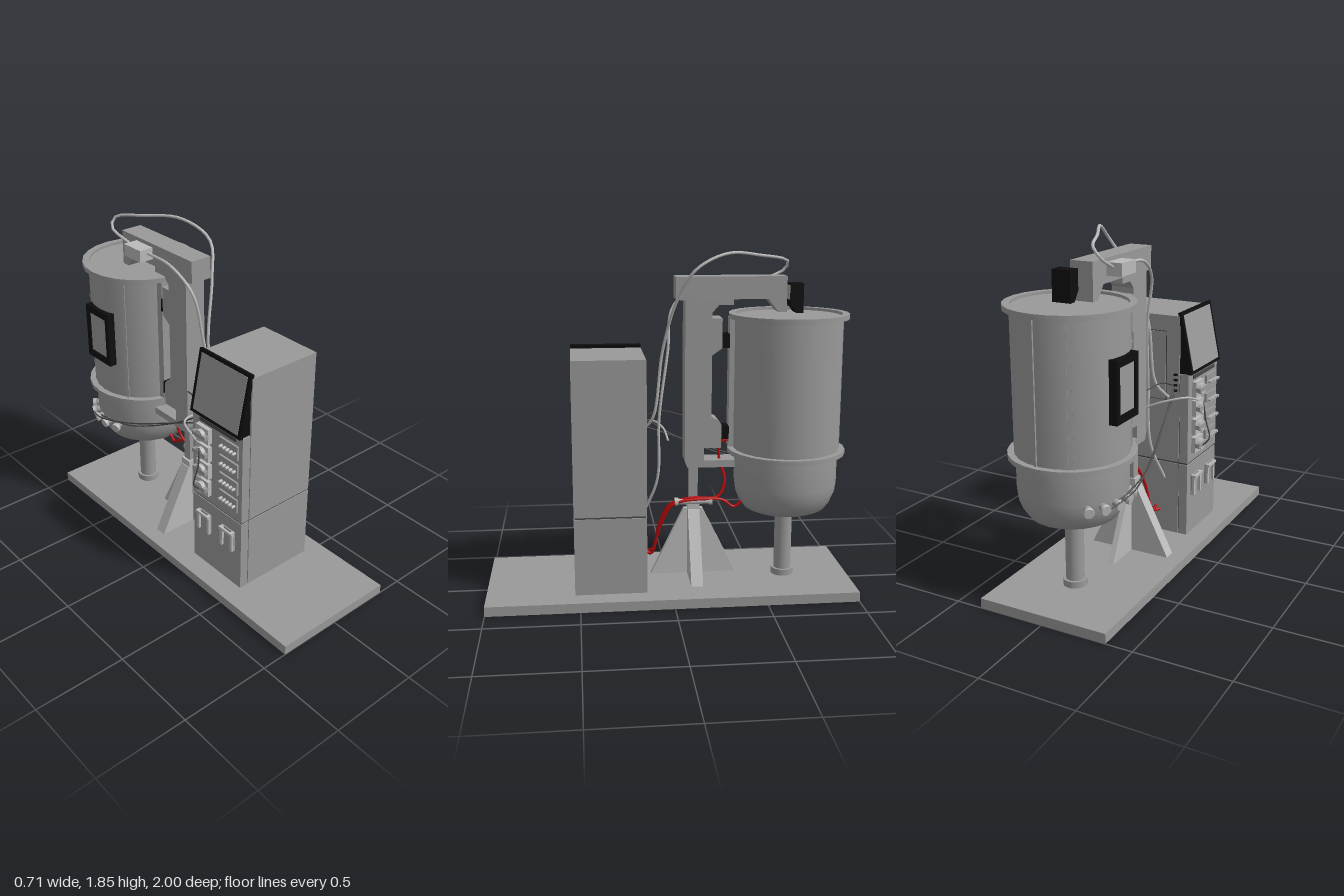
import * as THREE from 'three';
import { toCreasedNormals } from 'three/addons/utils/BufferGeometryUtils.js';

const grey = new THREE.MeshStandardMaterial({ color: 0x999999 });
const light = new THREE.MeshStandardMaterial({ color: 0xbababa });
const black = new THREE.MeshStandardMaterial({ color: 0x0e0e0e });
const dark = new THREE.MeshStandardMaterial({ color: 0x484848 });
const red = new THREE.MeshStandardMaterial({ color: 0xc00a0a });

export function createModel() {
  const model = new THREE.Group();
  const add = (name, geo, mat = grey, parent = model) => {
    const m = new THREE.Mesh(geo, mat);
    m.name = name;
    parent.add(m);
    return m;
  };
  // Box given by its extents on each axis
  const box = (name, x0, x1, y0, y1, z0, z1, mat, parent) => {
    const m = add(name, new THREE.BoxGeometry(x1 - x0, y1 - y0, z1 - z0), mat, parent);
    m.position.set((x0 + x1) / 2, (y0 + y1) / 2, (z0 + z1) / 2);
    return m;
  };
  const vec2 = pts => pts.map(p => new THREE.Vector2(...p));
  const extrude = (shape, depth) => new THREE.ExtrudeGeometry(shape, { depth, bevelEnabled: false });
  // Side profile in (z, y), extruded across x around a centre
  const sideExtrude = (name, pts, cx, width, mat) => {
    const g = extrude(new THREE.Shape(vec2(pts)), width);
    g.translate(0, 0, -width / 2).rotateY(-Math.PI / 2).translate(cx, 0, 0);
    return add(name, g, mat);
  };
  const tube = (name, pts, r, mat) => {
    const curve = new THREE.CatmullRomCurve3(pts.map(p => new THREE.Vector3(...p)));
    return add(name, new THREE.TubeGeometry(curve, 48, r, 8), mat);
  };
  const rod = (name, r, h, x, y, z, mat, parent) => {
    const g = toCreasedNormals(new THREE.CylinderGeometry(r, r, h, 20), 0.6);
    const m = add(name, g, mat, parent);
    m.position.set(x, y, z);
    return m;
  };

  box('basePlate', -0.357, 0.357, 0, 0.053, -1, 1);

  // Control cabinet
  box('cabinetLower', -0.185, 0.247, 0.053, 0.475, 0.14, 0.527);
  box('cabinetSeam', -0.18, 0.242, 0.475, 0.485, 0.145, 0.522, dark);
  box('cabinetUpper', -0.185, 0.247, 0.485, 1.32, 0.14, 0.527);
  box('sidePanelLower', -0.24, -0.19, 0.053, 0.475, 0.14, 0.527);
  box('sidePanelUpper', -0.24, -0.19, 0.485, 1.0, 0.14, 0.527);
  box('sidePanelSeam', -0.235, -0.18, 0.06, 0.99, 0.145, 0.522, dark);
  box('rearDoorGap', -0.108, 0.193, 0.842, 1.233, 0.137, 0.15, dark);
  box('rearDoor', -0.104, 0.189, 0.846, 1.229, 0.134, 0.15);

  // Tilted operator screen with wedge housing
  const wedge = new THREE.Shape(vec2([[-0.18, 1.0], [-0.18, 1.32], [-0.235, 1.0]]));
  add('screenHousing', extrude(wedge, 0.37), black).position.z = 0.147;
  const screen = new THREE.Group();
  screen.name = 'screen';
  screen.position.set(-0.216, 1.17, 0.333);
  screen.rotation.z = -0.2;
  model.add(screen);
  box('screenFrame', -0.01, 0.01, -0.173, 0.173, -0.193, 0.193, black, screen);
  box('screenGlass', -0.012, 0, -0.155, 0.155, -0.172, 0.172, grey, screen);

  // Pumps and switch modules on the side panel
  for (let i = 0; i < 4; i++) {
    const y = 0.58 + i * 0.108;
    box('pumpBody', -0.265, -0.24, y - 0.045, y + 0.045, 0.19, 0.29, light);
    rod('pumpHead', 0.032, 0.025, -0.275, y, 0.24, light).rotation.z = Math.PI / 2;
    box('pumpClamp', -0.289, -0.262, y - 0.012, y + 0.012, 0.19, 0.29);
    box('switchModule', -0.252, -0.24, y - 0.04, y + 0.04, 0.36, 0.5);
    for (let k = 0; k < 5; k++)
      rod('switchKnob', 0.008, 0.024, -0.262, y, 0.385 + k * 0.025, light).rotation.z = Math.PI / 2;
  }
  box('panelHeader', -0.246, -0.24, 0.965, 0.985, 0.2, 0.48, dark);

  // Handles and rear sockets
  for (const z of [0.24, 0.43]) {
    box('handlePlate', -0.248, -0.24, 0.28, 0.4, z - 0.05, z + 0.05);
    for (const s of [-1, 1]) box('handlePost', -0.262, -0.24, 0.28, 0.4, z + s * 0.04 - 0.009, z + s * 0.04 + 0.009, light);
    box('handleBar', -0.27, -0.258, 0.385, 0.4, z - 0.05, z + 0.05, light);
  }
  for (let i = 0; i < 4; i++) box('rearSocket', -0.175, -0.155, 0.9 + i * 0.03, 0.91 + i * 0.03, 0.126, 0.14, black);

  // Stand: cross-shaped foot, post, column and overhanging arm
  const cx = -0.037;
  sideExtrude('footFin', [[0.1, 0.053], [-0.38, 0.053], [-0.19, 0.435], [-0.085, 0.435]], cx, 0.03, light);
  const fin = new THREE.Shape(vec2([[-0.27, 0.053], [0.19, 0.053], [0.005, 0.435], [-0.08, 0.435]]));
  add('crossFin', extrude(fin, 0.065), light).position.z = -0.17;
  box('postSleeve', -0.075, 0.0, 0.053, 0.475, -0.17, -0.105, light);
  box('post', -0.062, -0.012, 0.4, 0.7, -0.162, -0.114);
  sideExtrude('columnAndArm', [
    [-0.035, 1.72], [-0.035, 1.6], [-0.085, 1.595], [-0.085, 0.72], [-0.1, 0.68], [-0.19, 0.68], [-0.19, 0.79],
    [-0.285, 0.79], [-0.285, 0.92], [-0.265, 0.945], [-0.23, 0.965], [-0.23, 1.3], [-0.285, 1.34], [-0.285, 1.5],
    [-0.23, 1.5], [-0.23, 1.53], [-0.265, 1.57], [-0.345, 1.57], [-0.345, 1.6], [-0.53, 1.6], [-0.585, 1.53],
    [-0.63, 1.53], [-0.63, 1.72]], cx, 0.122);
  box('shelf', -0.098, 0.024, 0.68, 0.72, -0.38, -0.1);
  for (const y of [1.375, 0.87]) box('vesselMount', -0.075, 0.0, y - 0.037, y + 0.037, -0.33, -0.272, black);
  box('mountStrip', -0.07, 0.0, 0.79, 1.5, -0.37, -0.328);
  box('armSideBox', -0.18, -0.095, 1.635, 1.7, -0.5, -0.36, light);
  sideExtrude('stirrerMotor', [[-0.635, 1.685], [-0.707, 1.685], [-0.707, 1.53], [-0.67, 1.53], [-0.635, 1.58]], 0.028, 0.1, black);
  box('motorFrontPlate', -0.01, 0.07, 1.6, 1.675, -0.64, -0.631);

  // Vessel with flanges, recessed lid and rounded bottom
  const vessel = new THREE.Group();
  vessel.name = 'vessel';
  vessel.position.set(0.022, 0, -0.642);
  model.add(vessel);
  const profile = [[0, 0.442], [0.19, 0.442], [0.225, 0.458], [0.255, 0.5], [0.275, 0.55], [0.282, 0.6], [0.282, 0.765],
    [0.322, 0.765], [0.322, 0.79], [0.289, 0.79], [0.289, 1.5], [0.322, 1.5], [0.322, 1.527], [0.285, 1.527],
    [0.285, 1.512], [0, 1.512]];
  const lathe = new THREE.LatheGeometry(vec2(profile), 24);
  add('vesselShell', toCreasedNormals(lathe, 0.6), grey, vessel);
  // Vertical jacket ribs; angle 0 faces +z, -90 degrees faces -x
  for (const deg of [-55, -147, -153, 175]) {
    const a = deg * Math.PI / 180;
    const rib = box('jacketRib', -0.005, 0.005, 0.79, 1.5, -0.007, 0.007, grey, vessel);
    rib.position.x = 0.289 * Math.sin(a);
    rib.position.z = 0.289 * Math.cos(a);
    rib.rotation.y = a;
  }
  // Viewing window and its bands
  for (const y of [0.93, 1.34]) {
    const band = new THREE.CylinderGeometry(0.297, 0.297, 0.012, 24, 1, true, -2.4, 1.45);
    add('windowBand', band, grey, vessel).position.y = y;
  }
  const frame = new THREE.Shape(vec2([[-0.105, 0.985], [0.105, 0.985], [0.105, 1.3], [-0.105, 1.3]]));
  frame.holes.push(new THREE.Path(vec2([[-0.075, 1.025], [-0.075, 1.26], [0.075, 1.26], [0.075, 1.025]])));
  const frameGeo = extrude(frame, 0.06);
  frameGeo.rotateY(-Math.PI / 2).translate(-0.25, 0, 0);
  add('windowFrame', frameGeo, black, vessel);
  box('windowGlass', -0.302, -0.26, 1.025, 1.26, -0.075, 0.075, grey, vessel);
  // Probe ports around the lower wall
  for (let i = 0; i < 5; i++) {
    const port = new THREE.Group();
    port.name = 'probePort';
    port.rotation.y = (-135 + i * 16) * Math.PI / 180;
    vessel.add(port);
    rod('portNeck', 0.02, 0.06, 0, 0.58, 0.285, grey, port).rotation.x = 1.75;
    rod('portCap', 0.026, 0.018, 0, 0.575, 0.31, light, port).rotation.x = 1.75;
  }
  rod('drainLeg', 0.048, 0.4, 0, 0.255, 0, grey, vessel);
  rod('drainFoot', 0.063, 0.035, 0, 0.0705, 0, grey, vessel);

  // Water manifold
  rod('manifold', 0.016, 0.2, 0.012, 0.485, -0.135, light).rotation.x = Math.PI / 2;
  for (const z of [-0.04, -0.23]) rod('manifoldCap', 0.022, 0.02, 0.012, 0.485, z, light).rotation.x = Math.PI / 2;

  // Cables and hoses
  tube('armCable', [[-0.12, 0.86, 0.14], [-0.07, 0.95, 0.08], [-0.045, 1.32, 0.03], [0.04, 1.6, -0.04], [0.1, 1.76, -0.13],
    [0.05, 1.84, -0.3], [-0.05, 1.825, -0.5], [-0.12, 1.79, -0.66], [-0.15, 1.745, -0.65], [-0.13, 1.68, -0.5]], 0.008, light);
  tube('returnCable', [[-0.13, 1.68, -0.5], [-0.128, 1.675, -0.35], [-0.125, 1.66, -0.17], [-0.1, 1.55, -0.03],
    [-0.06, 1.32, 0.0], [-0.04, 0.95, 0.05], [-0.05, 0.6, 0.06], [-0.1, 0.38, 0.14]], 0.008, light);
  tube('sensorCable', [[-0.16, 0.93, 0.14], [-0.13, 0.97, 0.03], [-0.09, 0.95, -0.09]], 0.004, dark);
  for (let i = 0; i < 2; i++)
    tube('probeCable', [[-0.16, 0.88 + i * 0.05, 0.13], [-0.2, 0.8, -0.07], [-0.27, 0.68 - i * 0.015, -0.38],
      [-0.31 + i * 0.02, 0.62, -0.62], [-0.27 + i * 0.015, 0.58, -0.78 + i * 0.06]], 0.004, dark);
  tube('pumpHose', [[-0.27, 0.85, 0.2], [-0.25, 0.89, 0.08], [-0.15, 0.87, 0.02], [-0.03, 0.82, 0.0]], 0.006, light);
  tube('pumpLoop', [[-0.285, 0.83, 0.245], [-0.3, 0.72, 0.25], [-0.325, 0.62, 0.245], [-0.285, 0.57, 0.24]], 0.004, dark);
  tube('supplyHose', [[-0.07, 0.18, 0.14], [-0.05, 0.19, 0.09], [-0.02, 0.36, 0.05], [0, 0.47, -0.01], [0.015, 0.505, -0.12],
    [0.015, 0.51, -0.27], [0.0, 0.6, -0.31], [-0.02, 0.72, -0.28], [-0.03, 0.81, -0.29], [-0.03, 0.825, -0.35]], 0.008, red);
  tube('returnHose', [[-0.05, 0.2, 0.14], [-0.03, 0.17, 0.1], [0.0, 0.34, 0.05], [0.02, 0.47, -0.02], [0.025, 0.5, -0.2],
    [0.02, 0.49, -0.3], [0.02, 0.45, -0.36], [0.02, 0.5, -0.42]], 0.008, red);

  return model;
}
